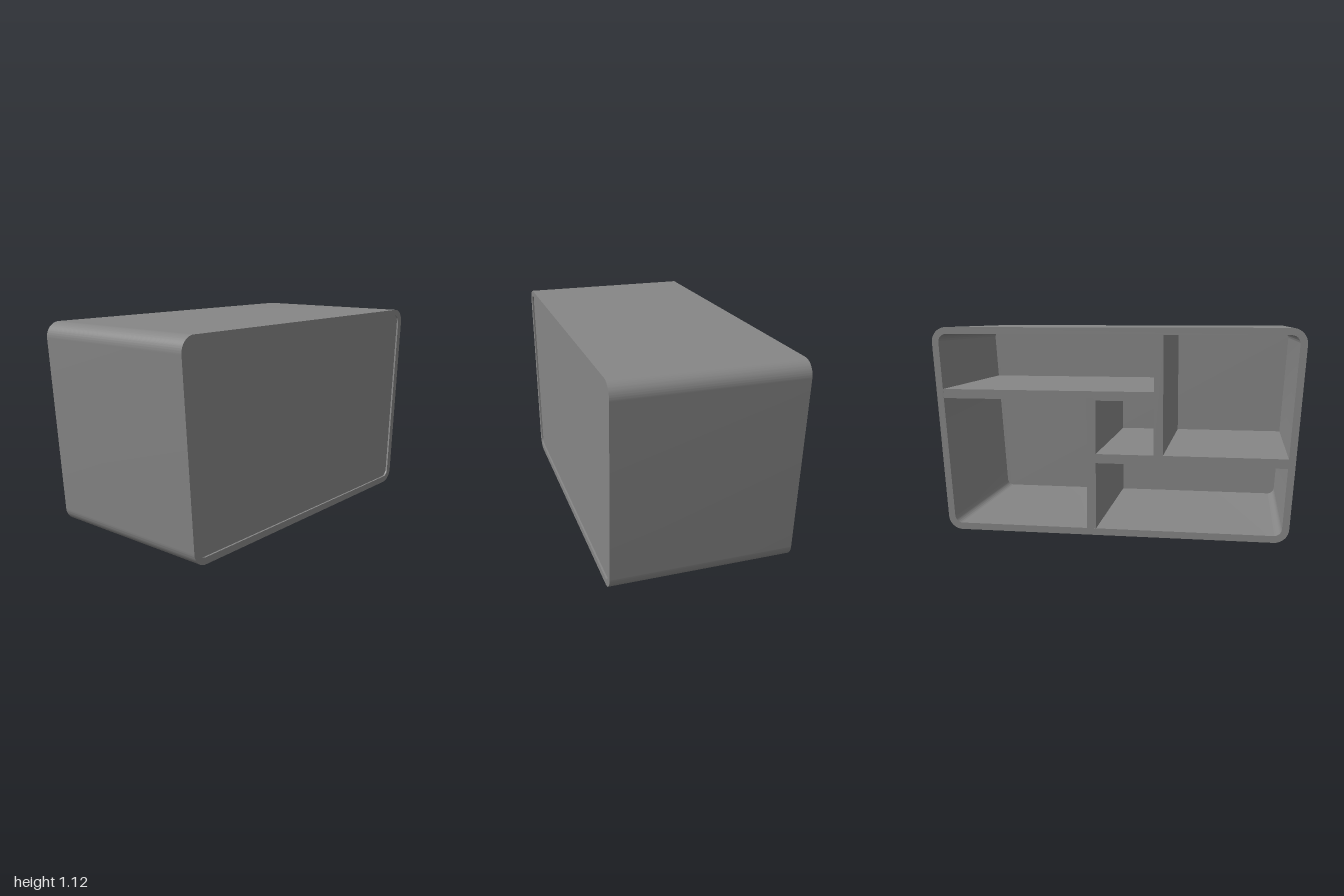
import * as THREE from 'three';
import { toCreasedNormals } from 'three/addons/utils/BufferGeometryUtils.js';

const HEIGHT = 1.125, HALF_BASE = 0.931, SLOPE = 0.066; // tapered outline
const RADIUS = 0.08, WALL = 0.037, BOARD = 0.05;

// Rounded trapezoid, inset evenly from the outer outline
function outline(Type, inset) {
  const lean = Math.atan(SLOPE), r = RADIUS - inset;
  const low = RADIUS, high = HEIGHT - RADIUS;
  const halfAt = (y) => HALF_BASE + SLOPE * y - RADIUS * Math.hypot(1, SLOPE);
  const path = new Type();
  path.absarc(halfAt(low), low, r, -Math.PI / 2, -lean, false);
  path.absarc(halfAt(high), high, r, -lean, Math.PI / 2, false);
  path.absarc(-halfAt(high), high, r, Math.PI / 2, Math.PI + lean, false);
  path.absarc(-halfAt(low), low, r, Math.PI + lean, Math.PI * 1.5, false);
  path.closePath();
  return path;
}

// Extrude an outline along x, from x0 to x1
function extrudeX(shape, x0, x1) {
  const geo = new THREE.ExtrudeGeometry(shape, { depth: x1 - x0, bevelEnabled: false, curveSegments: 12 });
  geo.rotateY(Math.PI / 2).translate(x0, 0, 0);
  return toCreasedNormals(geo, 0.5);
}

export function createModel() {
  const group = new THREE.Group();
  const material = new THREE.MeshStandardMaterial({ color: 0x868686 });
  const add = (name, geometry) => {
    const mesh = new THREE.Mesh(geometry, material);
    mesh.name = name;
    group.add(mesh);
  };

  // Tapered shell, open along x
  const frame = outline(THREE.Shape, 0);
  frame.holes.push(outline(THREE.Path, WALL));
  add('shell', extrudeX(frame, -0.5, 0.5));

  // Closing panel, set slightly into the shell
  add('backPanel', extrudeX(outline(THREE.Shape, WALL), 0.455, 0.49));

  // Inner boards: name, z range, y range
  const boards = [
    ['upperShelf', -0.96, 0.225, 0.763 - BOARD / 2, 0.763 + BOARD / 2],
    ['lowerShelf', -0.1, 0.94, 0.424 - BOARD / 2, 0.424 + BOARD / 2],
    ['upperDivider', 0.243 - BOARD / 2, 0.243 + BOARD / 2, 0.44, 1.1],
    ['lowerDivider', -0.12 - BOARD / 2, -0.12 + BOARD / 2, 0.02, 0.75],
  ];
  const x0 = -0.499, x1 = 0.46;
  for (const [name, z0, z1, y0, y1] of boards) {
    const geo = new THREE.BoxGeometry(x1 - x0, y1 - y0, z1 - z0);
    geo.translate((x0 + x1) / 2, (y0 + y1) / 2, (z0 + z1) / 2);
    add(name, geo);
  }
  return group;
}
